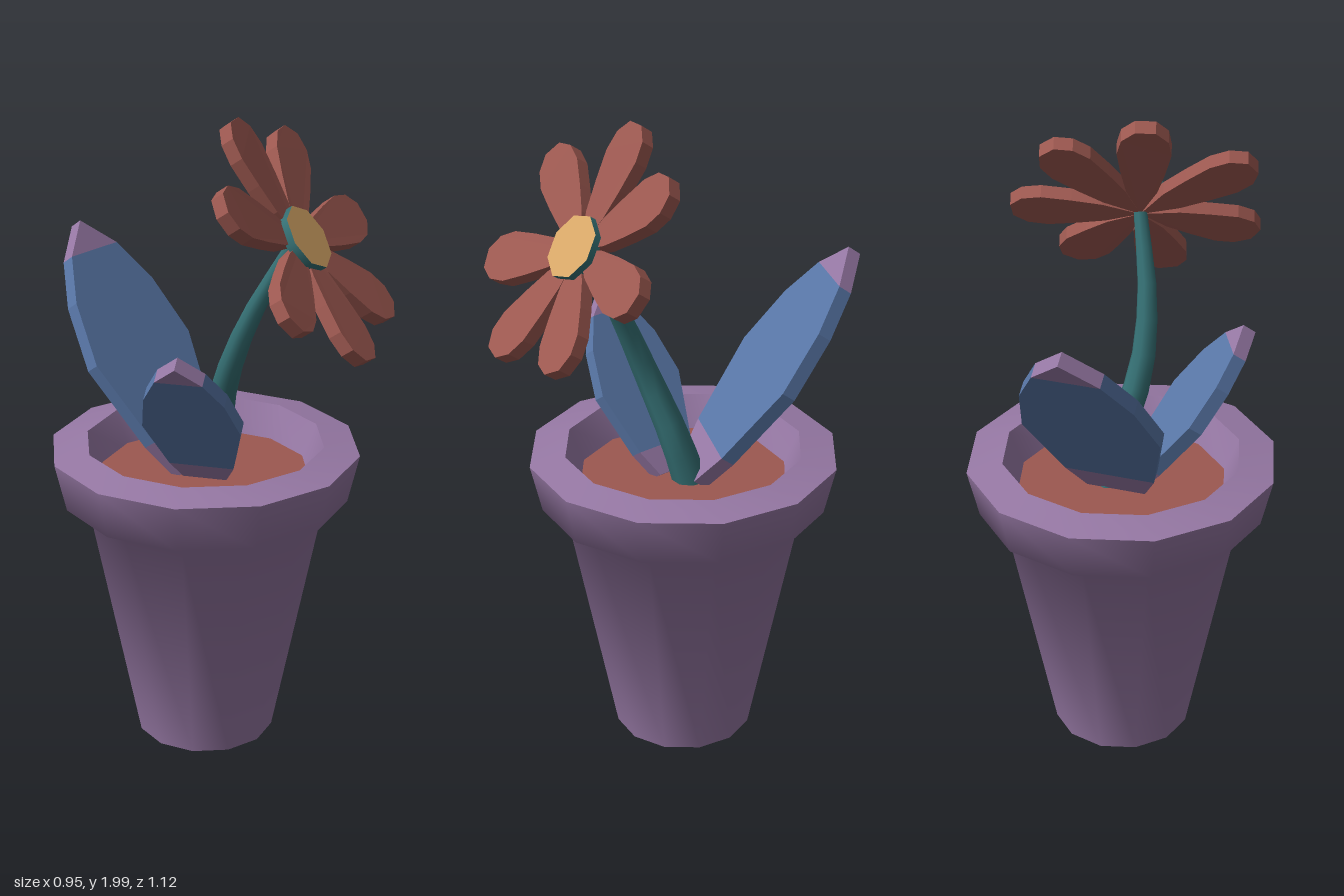
import * as THREE from 'three';
import { toCreasedNormals } from 'three/addons/utils/BufferGeometryUtils.js';

const V = (x, y, z) => new THREE.Vector3(x, y, z);

function makeMaterial(name, color) {
  const m = new THREE.MeshStandardMaterial({ color });
  m.name = name;
  return m;
}

function addMesh(parent, name, geometry, material) {
  const mesh = new THREE.Mesh(geometry, material);
  mesh.name = name;
  parent.add(mesh);
  return mesh;
}

// Symmetric slab from [distance along y, half width] stations, centred on z = 0
function slab(stations, depth) {
  const right = stations.map(([s, w]) => new THREE.Vector2(w, s));
  const left = stations.filter(([, w]) => w > 0).map(([s, w]) => new THREE.Vector2(-w, s)).reverse();
  const shape = new THREE.Shape([...right, ...left]);
  const geo = new THREE.ExtrudeGeometry(shape, { depth, bevelEnabled: false });
  return geo.translate(0, 0, -depth / 2);
}

// Leaf: purple base, blue blade, purple tip, growing along `dir` from `base`
function makeLeaf(name, base, dir, scale, mats) {
  const leaf = new THREE.Group();
  leaf.name = name;
  const depth = 0.045 / scale;
  addMesh(leaf, 'leafBase', slab([[0, 0.085], [0.12, 0.14]], depth), mats.purple);
  addMesh(leaf, 'leafBlade', slab([[0.12, 0.14], [0.4, 0.21], [0.6, 0.17], [0.74, 0.1]], depth), mats.blue);
  addMesh(leaf, 'leafTip', slab([[0.74, 0.1], [0.84, 0]], depth), mats.purple);
  const y = dir.clone().normalize();
  const x = V(0, 1, 0).cross(y).normalize().negate(); // width stays level
  const z = x.clone().cross(y);
  leaf.quaternion.setFromRotationMatrix(new THREE.Matrix4().makeBasis(x, y, z));
  leaf.position.copy(base);
  leaf.scale.setScalar(scale);
  return leaf;
}

// Stem: a curved tube thinned towards the flower
function stemGeometry() {
  const path = new THREE.CatmullRomCurve3([
    V(0.035, 0.85, -0.045), V(0.02, 1.0, 0), V(-0.025, 1.2, 0.075),
    V(-0.018, 1.4, 0.155), V(0.04, 1.63, 0.262),
  ]);
  const rings = 8, sides = 8;
  const geo = new THREE.TubeGeometry(path, rings, 1, sides);
  const pos = geo.attributes.position, p = V(0, 0, 0);
  for (let i = 0; i < pos.count; i++) {
    const u = Math.floor(i / (sides + 1)) / rings;
    const c = path.getPointAt(u);
    p.fromBufferAttribute(pos, i).sub(c).multiplyScalar(0.053 - 0.032 * u).add(c);
    pos.setXYZ(i, p.x, p.y, p.z);
  }
  return geo;
}

// Petal: rounded paddle, cupped forward in proportion to its distance from the hub
function petalGeometry() {
  const geo = slab([[0, 0], [0.11, 0.046], [0.2, 0.065], [0.29, 0.079], [0.35, 0.068], [0.39, 0.03]], 0.042);
  const pos = geo.attributes.position;
  for (let i = 0; i < pos.count; i++) {
    const r = Math.hypot(pos.getX(i), pos.getY(i));
    pos.setZ(i, pos.getZ(i) - 0.047 + 0.08 * r);
  }
  geo.computeVertexNormals();
  return geo;
}

export function createModel() {
  const mats = {
    purple: makeMaterial('purple', 0x9678a4),
    red: makeMaterial('terracotta', 0x9c5850),
    blue: makeMaterial('leafBlue', 0x5876a6),
    teal: makeMaterial('stemTeal', 0x357074),
    yellow: makeMaterial('yellow', 0xd8a868),
  };
  const model = new THREE.Group();
  model.name = 'pottedFlower';

  // Pot with a flared rim and hollow top
  const profile = [
    [0, 0], [0.215, 0], [0.365, 0.76], [0.44, 0.8], [0.475, 0.95],
    [0.366, 0.97], [0.312, 0.85],
  ].map(([r, y]) => new THREE.Vector2(r, y));
  const pot = addMesh(model, 'pot', toCreasedNormals(new THREE.LatheGeometry(profile, 12), 0.97), mats.purple);
  pot.position.z = -0.03;

  const soil = addMesh(model, 'soil', new THREE.CircleGeometry(0.321, 12).rotateX(-Math.PI / 2), mats.red);
  soil.position.set(0, 0.87, -0.03);

  addMesh(model, 'stem', stemGeometry(), mats.teal);

  // Leaves
  model.add(makeLeaf('backLeaf', V(0, 0.87, -0.06), V(0, 0.81, -0.585), 1, mats));
  model.add(makeLeaf('sideLeaf', V(-0.025, 0.87, 0.0), V(-0.31, 0.48, 0.15), 0.71, mats));

  // Flower head, facing forward, up and a little to its left
  const flower = new THREE.Group();
  flower.name = 'flower';
  flower.position.set(0.055, 1.665, 0.31);
  flower.quaternion.setFromUnitVectors(V(0, 0, 1), V(0.24, 0.58, 0.78).normalize());
  const petalGeo = petalGeometry();
  [0, 52, 98, 153, 211, 263, 310].forEach((deg, i) => {
    const petal = addMesh(flower, 'petal' + (i + 1), petalGeo, mats.red);
    petal.rotation.z = THREE.MathUtils.degToRad(deg - 90);
  });
  const discGeo = new THREE.CylinderGeometry(0.1, 0.1, 0.03, 8).rotateX(Math.PI / 2);
  const disc = addMesh(flower, 'flowerCentre', discGeo, [mats.teal, mats.yellow, mats.yellow]);
  disc.position.z = -0.012;
  model.add(flower);

  return model;
}
